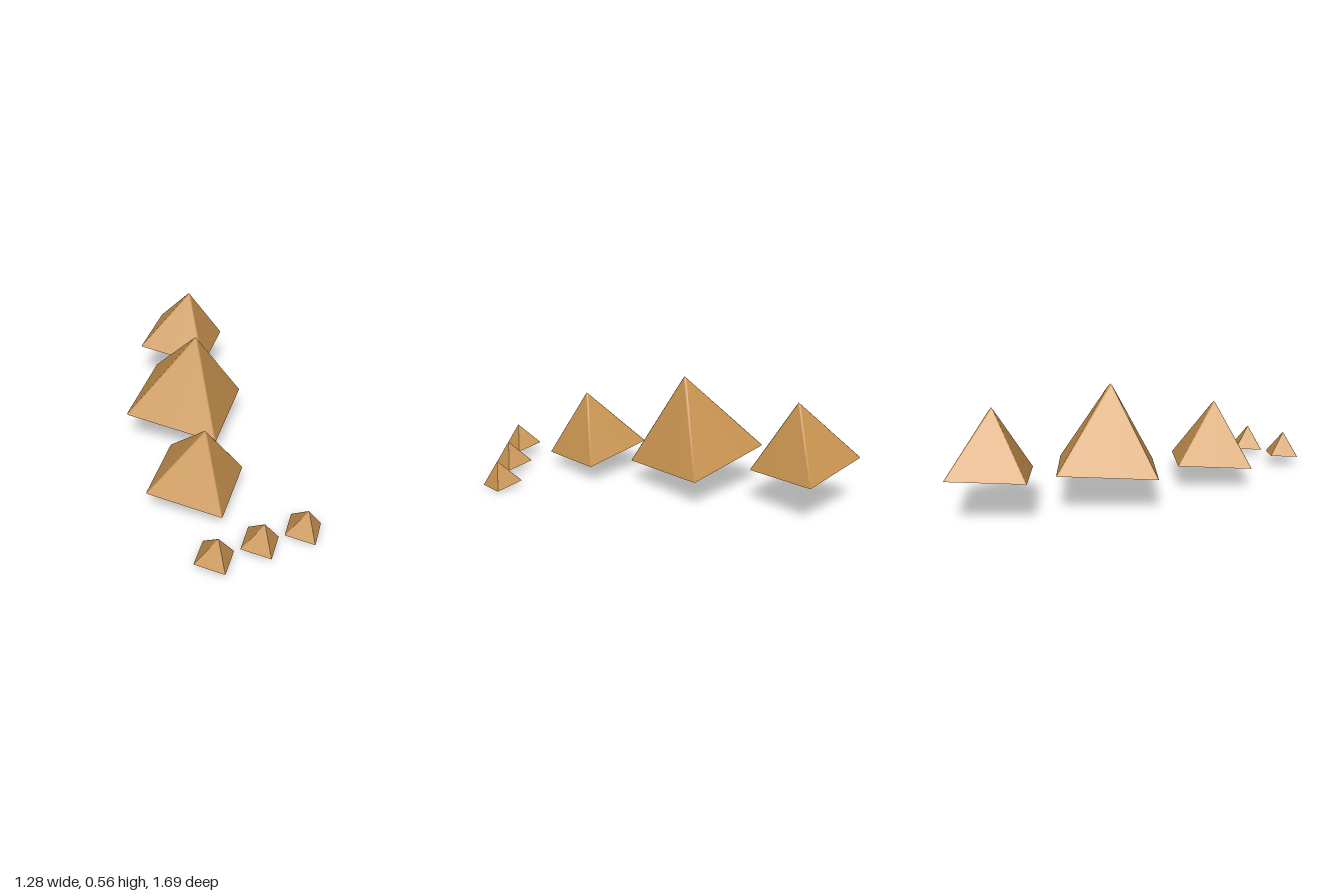
import * as THREE from 'three';

// Square pyramid with slightly softened ridges, centred on its base.
function pyramidGeometry(side, height) {
  const s = side / 2, cut = s * 0.03, tip = s * 0.045;
  const positions = [], index = [];
  // One ring: a square with its four corners trimmed, counter-clockwise from above.
  const ring = (half, y) => {
    const start = positions.length / 3, e = half - cut;
    for (const [x, z] of [[half, e], [half, -e], [e, -half], [-e, -half],
      [-half, -e], [-half, e], [-e, half], [e, half]]) positions.push(x, y, z);
    return start;
  };
  const point = (y) => positions.push(0, y, 0) / 3 - 1;
  const base = ring(s, 0);
  const top = ring(tip, height * (1 - tip / s));
  const apex = point(height * 0.985);
  const under = ring(s, 0); // separate ring keeps the base edge sharp
  const middle = point(0);
  for (let i = 0; i < 8; i++) {
    const j = (i + 1) % 8;
    index.push(base + i, base + j, top + j, base + i, top + j, top + i);
    index.push(top + i, top + j, apex);
    index.push(under + j, under + i, middle);
  }
  const geometry = new THREE.BufferGeometry();
  geometry.setAttribute('position', new THREE.Float32BufferAttribute(positions, 3));
  geometry.setIndex(index);
  geometry.computeVertexNormals();
  return geometry;
}

export function createModel() {
  const group = new THREE.Group();
  group.name = 'pyramidField';
  const sandstone = new THREE.MeshStandardMaterial({ color: 0xc8934f });

  // All pyramids share the slope of the ground and the same heading.
  const up = new THREE.Vector3(0.04, 1, 0.169).normalize();
  const across = new THREE.Vector3(0.864, 0.05, -0.501);
  across.addScaledVector(up, -across.dot(up)).normalize();
  const basis = new THREE.Matrix4().makeBasis(across, up, across.clone().cross(up));

  // name, base side, height, base centre
  const pyramids = [
    ['greatPyramid', 0.46, 0.404, [0.037, 0.167, -0.036]],
    ['rearPyramid', 0.356, 0.305, [0.398, 0.217, -0.458]],
    ['frontPyramid', 0.356, 0.303, [-0.303, 0.11, 0.41]],
    ['smallPyramidRight', 0.138, 0.118, [-0.55, 0.057, 0.788]],
    ['smallPyramidMiddle', 0.138, 0.118, [-0.333, 0.038, 0.845]],
    ['smallPyramidLeft', 0.138, 0.118, [-0.117, 0.018, 0.903]],
  ];
  for (const [name, side, height, centre] of pyramids) {
    const mesh = new THREE.Mesh(pyramidGeometry(side, height), sandstone);
    mesh.name = name;
    mesh.quaternion.setFromRotationMatrix(basis);
    mesh.position.set(...centre);
    group.add(mesh);
  }
  return group;
}
